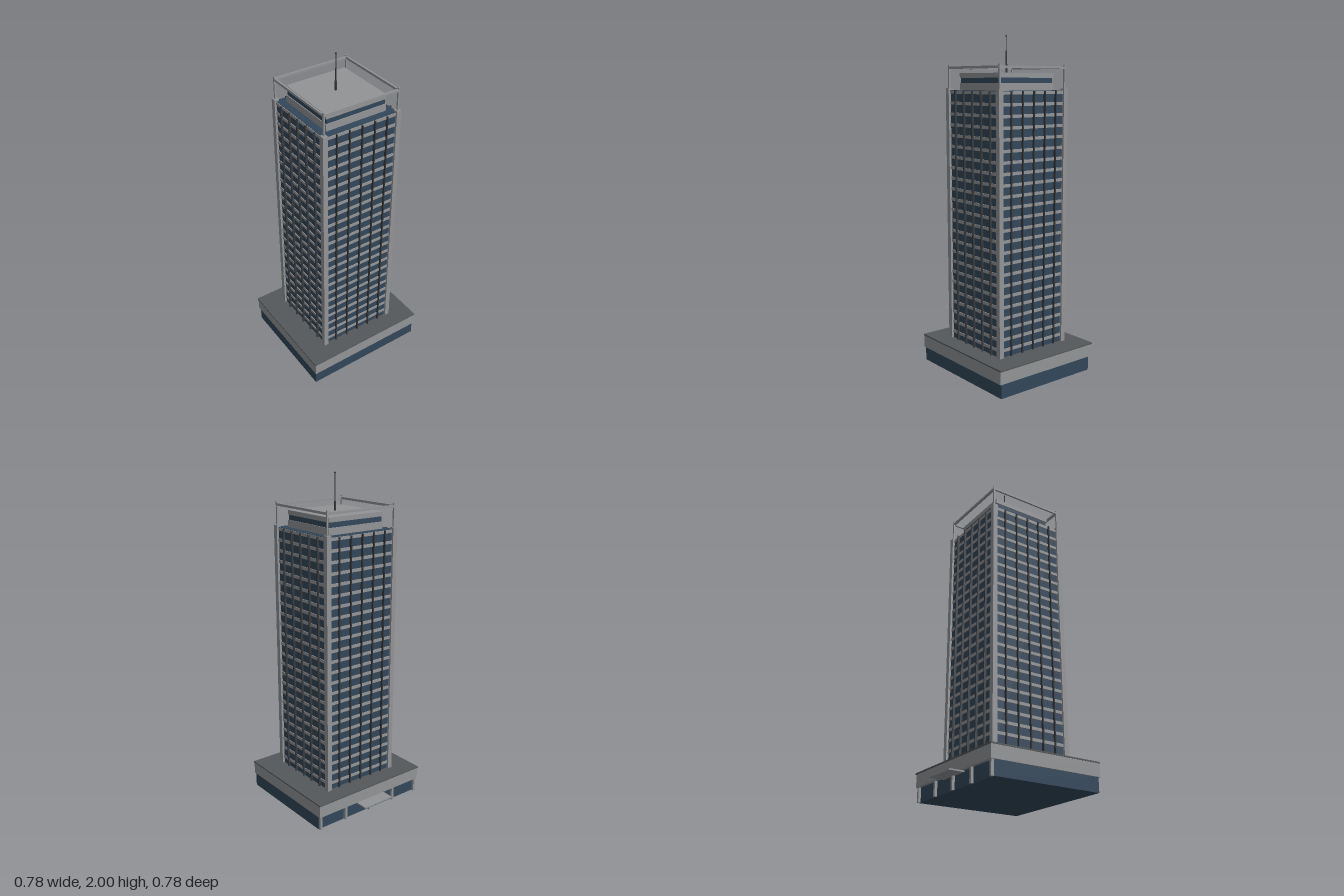
import * as THREE from 'three';

const mat = (name, color) => {
  const m = new THREE.MeshStandardMaterial({ color });
  m.name = name;
  return m;
};

export function createModel() {
  const concrete = mat('concrete', 0x929496);
  const glass = mat('blue glass', 0x32475a);
  const roofing = mat('dark roofing', 0x55585a);
  const metal = mat('dark metal', 0x36393b);

  const model = new THREE.Group();
  model.name = 'officeTower';

  const add = (parent, name, geometry, material, x, y, z) => {
    const mesh = new THREE.Mesh(geometry, material);
    mesh.name = name;
    mesh.position.set(x, y, z);
    parent.add(mesh);
    return mesh;
  };
  // Box given by its size in x and z and its bottom and top heights
  const box = (parent, name, material, w, d, y0, y1, x = 0, z = 0) =>
    add(parent, name, new THREE.BoxGeometry(w, y1 - y0, d), material, x, (y0 + y1) / 2, z);
  const group = (name, z) => {
    const g = new THREE.Group();
    g.name = name;
    g.position.z = z;
    model.add(g);
    return g;
  };

  // Podium: glazed ground floor, concrete fascia and roof slab
  const podium = group('podium', 0);
  box(podium, 'groundFloorGlass', glass, 0.764, 0.673, 0, 0.085, 0, 0.04);
  box(podium, 'fascia', concrete, 0.774, 0.703, 0.085, 0.16, 0, 0.034);
  box(podium, 'podiumRoof', roofing, 0.78, 0.709, 0.16, 0.168, 0, 0.032);

  // Entrance colonnade and canopy at the back
  for (let i = -2; i <= 2; i++) {
    box(podium, 'entranceColumn', concrete, 0.016, 0.016, 0, 0.085, i * 0.186, -0.304);
  }
  box(podium, 'entranceCanopy', concrete, 0.21, 0.092, 0.076, 0.084, 0, -0.344);

  // Tower core with a concrete band on every storey
  const tower = group('tower', 0.032);
  box(tower, 'glassCore', glass, 0.478, 0.478, 0.168, 1.684);
  for (let i = 0; i < 24; i++) {
    const y = 0.21 + i * 0.0636;
    box(tower, 'floorBand', concrete, 0.487, 0.487, y - 0.009, y + 0.009);
  }

  // Vertical fins on all four faces
  for (let side = 0; side < 4; side++) {
    const face = new THREE.Group();
    face.name = 'facadeFins';
    face.rotation.y = side * Math.PI / 2;
    tower.add(face);
    for (let i = -2; i <= 2; i++) {
      box(face, 'fin', metal, 0.006, 0.016, 0.168, 1.682, i * 0.0818, 0.246);
    }
  }

  // Corner piers, each carrying a post of the rooftop frame
  const c = 0.2385;
  for (const sx of [-1, 1]) {
    for (const sz of [-1, 1]) {
      box(tower, 'cornerPier', concrete, 0.03, 0.03, 0.168, 1.695, sx * c, sz * c);
      box(tower, 'framePost', concrete, 0.01, 0.01, 1.695, 1.83, sx * c, sz * c);
    }
    box(tower, 'frameBeam', concrete, 2 * c, 0.011, 1.806, 1.82, 0, sx * c);
    box(tower, 'frameBeam', concrete, 0.011, 2 * c, 1.806, 1.82, sx * c, 0);
  }

  // Penthouse
  box(tower, 'penthouseBase', concrete, 0.388, 0.388, 1.684, 1.725);
  box(tower, 'penthouseGlass', glass, 0.378, 0.378, 1.725, 1.755);
  box(tower, 'penthouseRoof', concrete, 0.388, 0.388, 1.755, 1.782);

  // Stepped antenna mast with a small tip
  const mast = (name, r, y0, y1) =>
    add(tower, name, new THREE.CylinderGeometry(r, r, y1 - y0, 12), metal, 0, (y0 + y1) / 2, 0);
  mast('antennaBase', 0.006, 1.782, 1.835);
  mast('antennaMast', 0.004, 1.835, 1.91);
  mast('antennaRod', 0.0025, 1.91, 1.992);
  add(tower, 'antennaTip', new THREE.SphereGeometry(0.005, 12, 8), metal, 0, 1.995, 0);

  return model;
}
